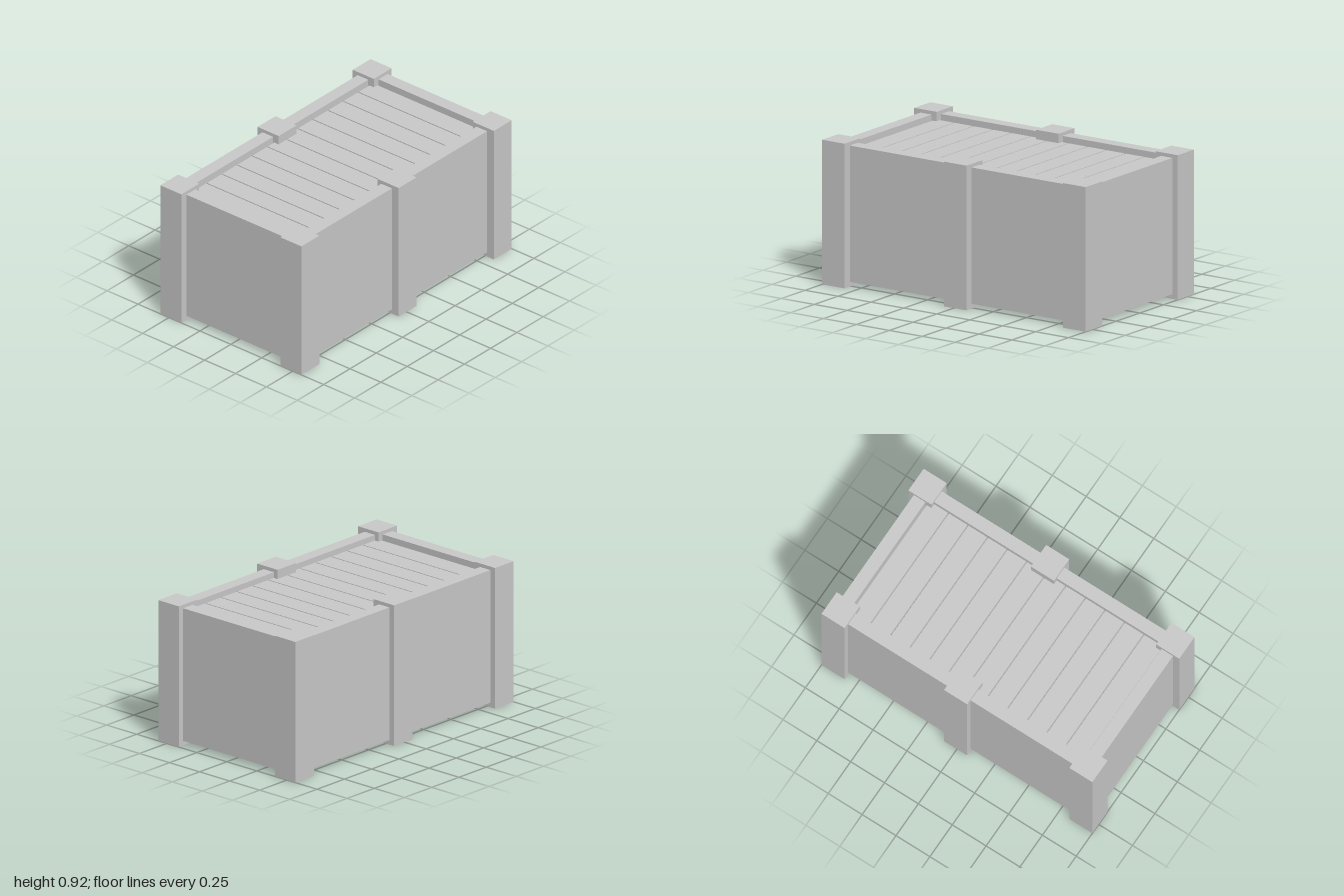
import * as THREE from 'three';

const material = new THREE.MeshStandardMaterial({ color: 0xcccccc, flatShading: true });

// Adds a box given by its minimum and maximum corners
function addBox(parent, name, min, max) {
  const size = max.map((v, i) => v - min[i]);
  const mesh = new THREE.Mesh(new THREE.BoxGeometry(...size), material);
  mesh.position.set(...max.map((v, i) => (v + min[i]) / 2));
  mesh.name = name;
  parent.add(mesh);
}

export function createModel() {
  const model = new THREE.Group();
  model.name = 'crate';

  // Six square posts, three along each side
  const half = 0.085;
  for (const x of [-0.485, 0.485]) {
    for (const z of [-0.915, -0.01, 0.915]) {
      addBox(model, 'post', [x - half, 0, z - half], [x + half, 0.92, z + half]);
    }
  }

  // Side and end walls, raised slightly off the ground
  const bottom = 0.03, top = 0.897;
  addBox(model, 'rightWall', [-0.53, bottom, -0.9], [-0.445, top, 0.9]);
  addBox(model, 'leftWall', [0.43, bottom, -0.9], [0.515, top, 0.9]);
  addBox(model, 'frontWall', [-0.44, bottom, 0.868], [0.43, top, 0.953]);
  addBox(model, 'backWall', [-0.44, bottom, -0.96], [0.43, top, -0.875]);

  // Lid of twelve spaced slats, sunk below the rim
  const lid = new THREE.Group();
  lid.name = 'lid';
  const count = 12, pitch = 0.1443;
  for (let i = 0; i < count; i++) {
    const z = -0.796 + i * pitch;
    addBox(lid, 'slat', [-0.435, 0.82, z - 0.068], [0.43, 0.86, z + 0.068]);
  }
  model.add(lid);

  return model;
}
